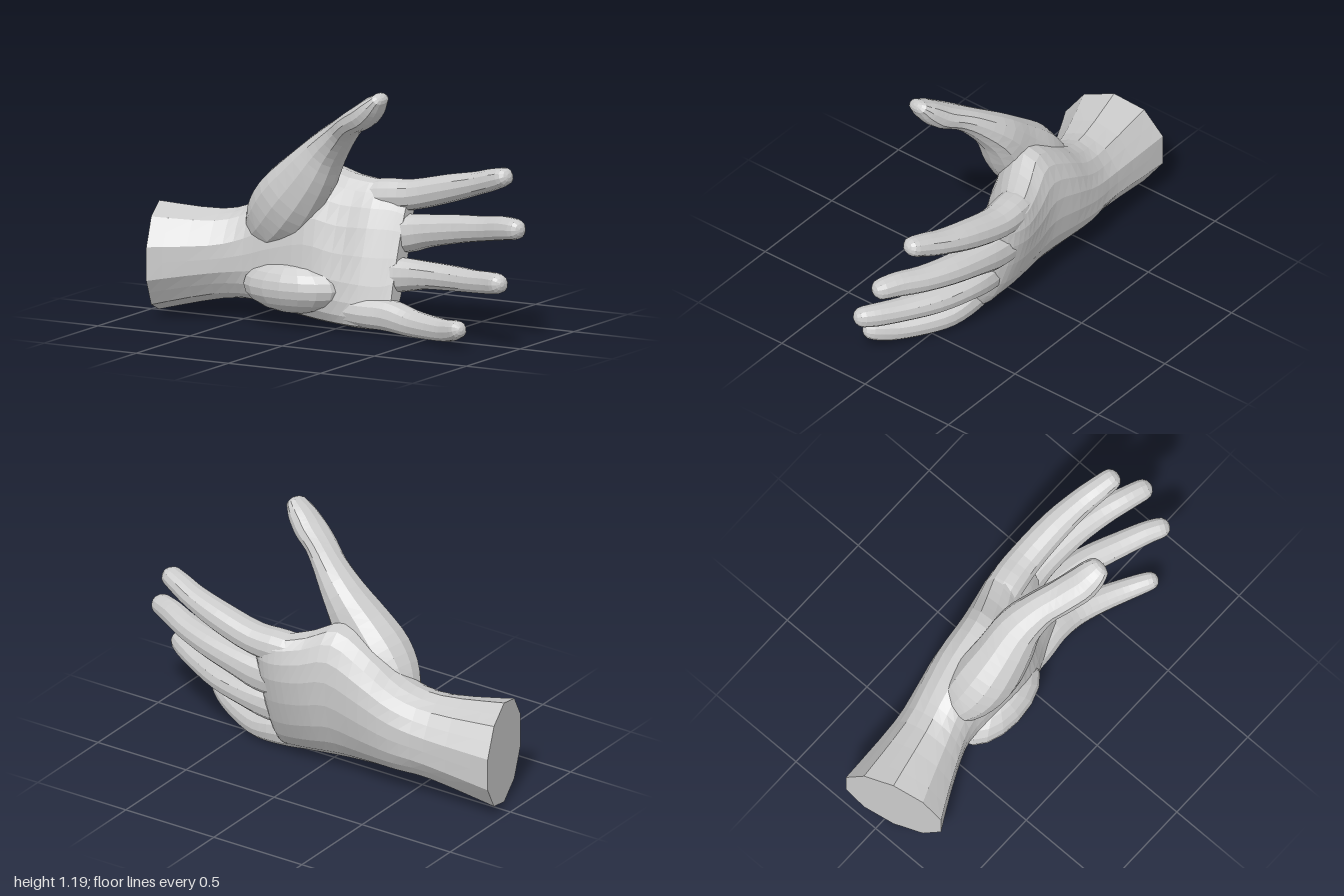
import * as THREE from 'three';

const material = new THREE.MeshStandardMaterial({ color: 0xcccccc, flatShading: true });

// Signed power, squares off an ellipse when p < 1
const power = (v, p) => Math.sign(v) * Math.abs(v) ** p;

// Smooth interpolation between rows of numbers, `steps` per interval
function spline(rows, steps) {
  const out = [];
  const at = (i) => rows[Math.max(0, Math.min(rows.length - 1, i))];
  for (let i = 0; i < rows.length - 1; i++) {
    for (let s = 0; s < steps; s++) {
      const t = s / steps;
      out.push(rows[i].map((b, k) => {
        const a = at(i - 1)[k], c = at(i + 1)[k], d = at(i + 2)[k];
        const m0 = (c - a) / 2, m1 = (d - b) / 2;
        return b + m0 * t + (3 * (c - b) - 2 * m0 - m1) * t * t
          + (2 * (b - c) + m0 + m1) * t * t * t;
      }));
    }
  }
  out.push(rows[rows.length - 1]);
  return out;
}

// Skin over closed rings of points, closed at both ends
function skin(name, rings) {
  const n = rings[0].length, pos = [], index = [];
  rings.forEach((ring) => ring.forEach((p) => pos.push(p.x, p.y, p.z)));
  for (let i = 0; i < rings.length - 1; i++) {
    for (let j = 0; j < n; j++) {
      const a = i * n + j, b = i * n + (j + 1) % n;
      index.push(a, b, a + n, b, b + n, a + n);
    }
  }
  [0, rings.length - 1].forEach((r, end) => {
    const mid = new THREE.Vector3();
    rings[r].forEach((p) => mid.addScaledVector(p, 1 / n));
    const m = pos.length / 3;
    pos.push(mid.x, mid.y, mid.z);
    for (let j = 0; j < n; j++) {
      const a = r * n + j, b = r * n + (j + 1) % n;
      if (end) index.push(m, a, b); else index.push(m, b, a);
    }
  });
  const geometry = new THREE.BufferGeometry();
  geometry.setAttribute('position', new THREE.Float32BufferAttribute(pos, 3));
  geometry.setIndex(index);
  geometry.computeVertexNormals();
  const mesh = new THREE.Mesh(geometry, material);
  mesh.name = name;
  return mesh;
}

// Finger from rows [x, y, z, half width, half depth], with a rounded tip
function finger(name, rows, sides = 12) {
  const st = spline(rows, 3);
  const centre = st.map((r) => new THREE.Vector3(r[0], r[1], r[2]));
  const ringAt = (c, t, hw, hd) => {
    const d = new THREE.Vector3(0, 0, 1).addScaledVector(t, -t.z).normalize();
    const w = new THREE.Vector3().crossVectors(d, t);
    return Array.from({ length: sides }, (_, j) => {
      const a = (j / sides) * Math.PI * 2;
      return c.clone().addScaledVector(w, power(Math.cos(a), 0.88) * hw)
        .addScaledVector(d, power(Math.sin(a), 0.88) * hd);
    });
  };
  const rings = [];
  let t;
  st.forEach((r, i) => {
    t = centre[Math.min(i + 1, st.length - 1)].clone().sub(centre[Math.max(i - 1, 0)]).normalize();
    rings.push(ringAt(centre[i], t, r[3], r[4]));
  });
  const [, , , hw, hd] = rows[rows.length - 1];
  for (const a of [0.5, 0.95, 1.35]) {
    const c = centre[centre.length - 1].clone().addScaledVector(t, hw * Math.sin(a));
    rings.push(ringAt(c, t, hw * Math.cos(a), hd * Math.cos(a)));
  }
  return skin(name, rings);
}

// Forearm, wrist and palm as one loft along x; the cut forearm is ten-sided
function palm() {
  // x, slant, y bottom, y top, z mid bottom, z mid top, depth back, depth front, squareness, facet
  const rows = [
    [-0.945, 0.29, 0.02, 0.54, 0.05, 0.05, 0.25, 0.25, 1, 1],
    [-0.62, 0.12, 0.09, 0.52, -0.02, -0.02, 0.19, 0.185, 1, 0.8],
    [-0.45, 0.03, 0.095, 0.57, -0.04, -0.06, 0.185, 0.155, 0.95, 0.2],
    [-0.3, 0, 0.075, 0.68, 0.0, -0.07, 0.215, 0.14, 0.92, 0],
    [-0.12, 0, 0.05, 0.78, 0.02, -0.08, 0.22, 0.135, 0.92, 0],
    [0.02, 0, 0.035, 0.73, 0.02, -0.14, 0.2, 0.13, 0.88, 0],
    [0.14, 0, 0.025, 0.7, 0.01, -0.195, 0.17, 0.09, 0.82, 0],
    [0.23, 0, 0.025, 0.69, -0.01, -0.21, 0.13, 0.07, 0.8, 0],
    [0.29, 0, 0.06, 0.66, -0.02, -0.21, 0.06, 0.045, 0.8, 0],
  ];
  const n = 20;
  const rings = spline(rows, 3).map(([x, slant, yB, yT, zB, zT, dB, dF, p, facet]) =>
    Array.from({ length: n }, (_, j) => {
      const a = (j / n) * Math.PI * 2;
      const f = 1 - facet * (j % 2) * 0.049;
      const u = power(Math.cos(a), p) * f, v = power(Math.sin(a), p) * f;
      const y = (yB + yT) / 2 + u * (yT - yB) / 2;
      const z = zB + (zT - zB) * (u + 1) / 2 + v * (v > 0 ? dF : dB);
      return new THREE.Vector3(x + slant * z, y, z);
    }));
  return skin('forearmAndPalm', rings);
}

export function createModel() {
  const hand = new THREE.Group();
  hand.name = 'hand';
  hand.add(palm());

  // Muscle pad on the little finger's side of the palm
  const heel = new THREE.Mesh(new THREE.SphereGeometry(1, 16, 10), material);
  heel.name = 'heelOfPalm';
  heel.scale.set(0.26, 0.125, 0.135);
  heel.position.set(-0.2, 0.2, 0.055);
  hand.add(heel);

  hand.add(finger('indexFinger', [
    [-0.05, 0.6, -0.15, 0.06, 0.07],
    [0.14, 0.628, -0.2, 0.078, 0.088],
    [0.3, 0.642, -0.217, 0.073, 0.083],
    [0.5, 0.692, -0.21, 0.067, 0.076],
    [0.66, 0.735, -0.187, 0.056, 0.066],
    [0.75, 0.763, -0.165, 0.053, 0.06],
    [0.82, 0.785, -0.147, 0.046, 0.054],
  ]));
  hand.add(finger('middleFinger', [
    [-0.05, 0.45, -0.14, 0.06, 0.08],
    [0.14, 0.452, -0.18, 0.085, 0.09],
    [0.28, 0.46, -0.19, 0.092, 0.085],
    [0.4, 0.483, -0.19, 0.078, 0.08],
    [0.58, 0.512, -0.17, 0.067, 0.074],
    [0.74, 0.535, -0.13, 0.059, 0.066],
    [0.86, 0.556, -0.085, 0.057, 0.058],
    [0.94, 0.563, -0.055, 0.05, 0.052],
  ]));
  hand.add(finger('ringFinger', [
    [-0.05, 0.26, -0.06, 0.06, 0.08],
    [0.14, 0.265, -0.1, 0.082, 0.088],
    [0.28, 0.273, -0.12, 0.083, 0.083],
    [0.42, 0.284, -0.115, 0.067, 0.077],
    [0.58, 0.291, -0.08, 0.06, 0.07],
    [0.74, 0.302, -0.015, 0.054, 0.062],
    [0.86, 0.315, 0.04, 0.053, 0.055],
    [0.92, 0.322, 0.075, 0.048, 0.05],
  ]));
  hand.add(finger('littleFinger', [
    [-0.05, 0.12, 0.01, 0.06, 0.07],
    [0.14, 0.1, -0.01, 0.073, 0.08],
    [0.27, 0.094, -0.025, 0.076, 0.08],
    [0.4, 0.072, -0.01, 0.065, 0.071],
    [0.52, 0.07, 0.035, 0.058, 0.063],
    [0.64, 0.077, 0.095, 0.053, 0.055],
    [0.71, 0.09, 0.135, 0.05, 0.05],
    [0.75, 0.1, 0.16, 0.044, 0.045],
  ]));
  // The thumb begins as the muscle pad under its root
  hand.add(finger('thumb', [
    [-0.46, 0.4, -0.03, 0.06, 0.06],
    [-0.35, 0.48, 0.0, 0.14, 0.12],
    [-0.24, 0.6, 0.025, 0.165, 0.145],
    [-0.13, 0.73, 0.035, 0.14, 0.13],
    [-0.03, 0.86, 0.04, 0.098, 0.11],
    [0.08, 0.965, 0.08, 0.068, 0.088],
    [0.16, 1.025, 0.125, 0.057, 0.085],
    [0.25, 1.075, 0.165, 0.062, 0.085],
    [0.31, 1.125, 0.185, 0.053, 0.076],
    [0.345, 1.16, 0.195, 0.036, 0.062],
  ]));
  return hand;
}
